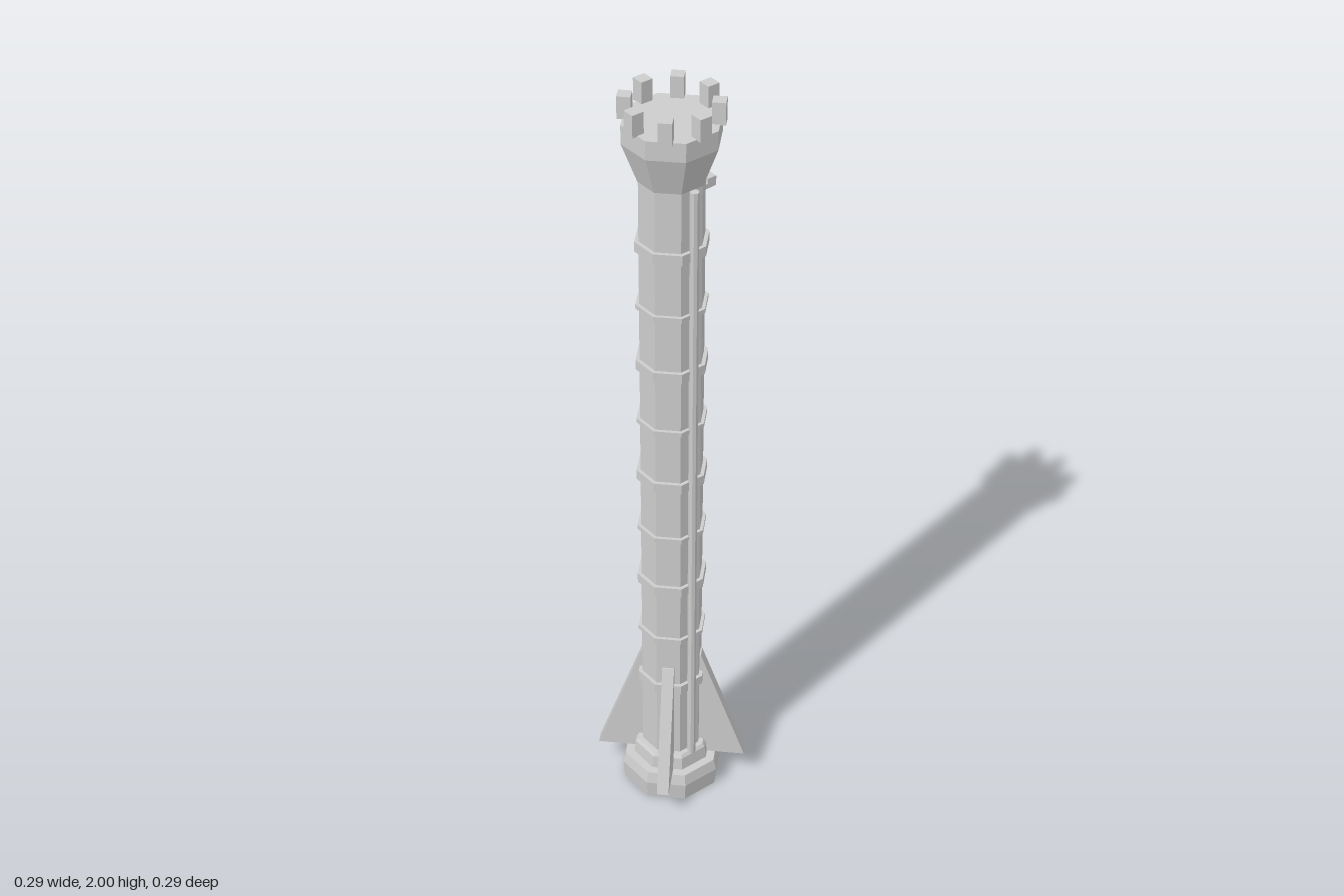
import * as THREE from 'three';

const stone = new THREE.MeshStandardMaterial({ color: 0xcccccc, flatShading: true });
stone.name = 'light grey stone';

function add(parent, name, geometry, x = 0, y = 0, z = 0) {
  const mesh = new THREE.Mesh(geometry, stone);
  mesh.name = name;
  mesh.position.set(x, y, z);
  parent.add(mesh);
  return mesh;
}

// Closed eight-sided solid from [half width across flats, height] pairs, flat sides facing the axes
function octagon(profile) {
  const k = 1 / Math.cos(Math.PI / 8);
  const pts = profile.map(([r, y]) => new THREE.Vector2(r * k, y));
  pts.unshift(new THREE.Vector2(0, profile[0][1]));
  pts.push(new THREE.Vector2(0, profile[profile.length - 1][1]));
  return new THREE.LatheGeometry(pts, 8, Math.PI / 8);
}

export function createModel() {
  const tower = new THREE.Group();
  tower.name = 'tower';

  // Foot, collar and shaft
  add(tower, 'base', octagon([[0.118, 0], [0.122, 0.05], [0.115, 0.08]]));
  add(tower, 'collar', octagon([[0.094, 0.078], [0.09, 0.115], [0.084, 0.123]]));
  add(tower, 'shaft', octagon([[0.072, 0.1], [0.072, 1.81]]));

  // Alternating thick and thin bands
  for (let i = 0; i < 9; i++) {
    const thick = i % 2 === 0;
    const h = thick ? 0.013 : 0.006;
    const r = thick ? 0.081 : 0.08;
    const y = 0.345 + i * 0.161;
    add(tower, thick ? 'thickBand' : 'thinBand', octagon([[r, y - h], [r, y + h]]));
  }

  // Vertical pipes on the front and back
  for (const s of [1, -1]) {
    add(tower, 'pipe', new THREE.CylinderGeometry(0.011, 0.011, 1.69, 8), 0, 0.955, s * 0.081);
  }

  // Four diagonal fins
  const outline = new THREE.Shape([
    new THREE.Vector2(0.06, 0.08), new THREE.Vector2(0.191, 0.08),
    new THREE.Vector2(0.076, 0.41), new THREE.Vector2(0.06, 0.41)
  ]);
  const finGeometry = new THREE.ExtrudeGeometry(outline, { depth: 0.03, bevelEnabled: false });
  finGeometry.translate(0, 0, -0.015);
  for (let i = 0; i < 4; i++) {
    add(tower, 'fin', finGeometry).rotation.y = Math.PI / 4 + i * Math.PI / 2;
  }

  // Flared crown with eight merlons
  add(tower, 'crown', octagon([[0.073, 1.8], [0.09, 1.85], [0.107, 1.9], [0.107, 1.947]]));
  const merlonGeometry = new THREE.BoxGeometry(0.031, 0.055, 0.031);
  for (let i = 0; i < 8; i++) {
    const a = i * Math.PI / 4;
    const m = add(tower, 'merlon', merlonGeometry, Math.sin(a) * 0.104, 1.9725, Math.cos(a) * 0.104);
    m.rotation.y = a;
  }

  // Small bracket on the left side
  add(tower, 'bracketArm', new THREE.BoxGeometry(0.03, 0.012, 0.05), 0.08, 1.757, 0);
  add(tower, 'bracketBlock', new THREE.BoxGeometry(0.023, 0.024, 0.05), 0.094, 1.764, 0);

  return tower;
}
